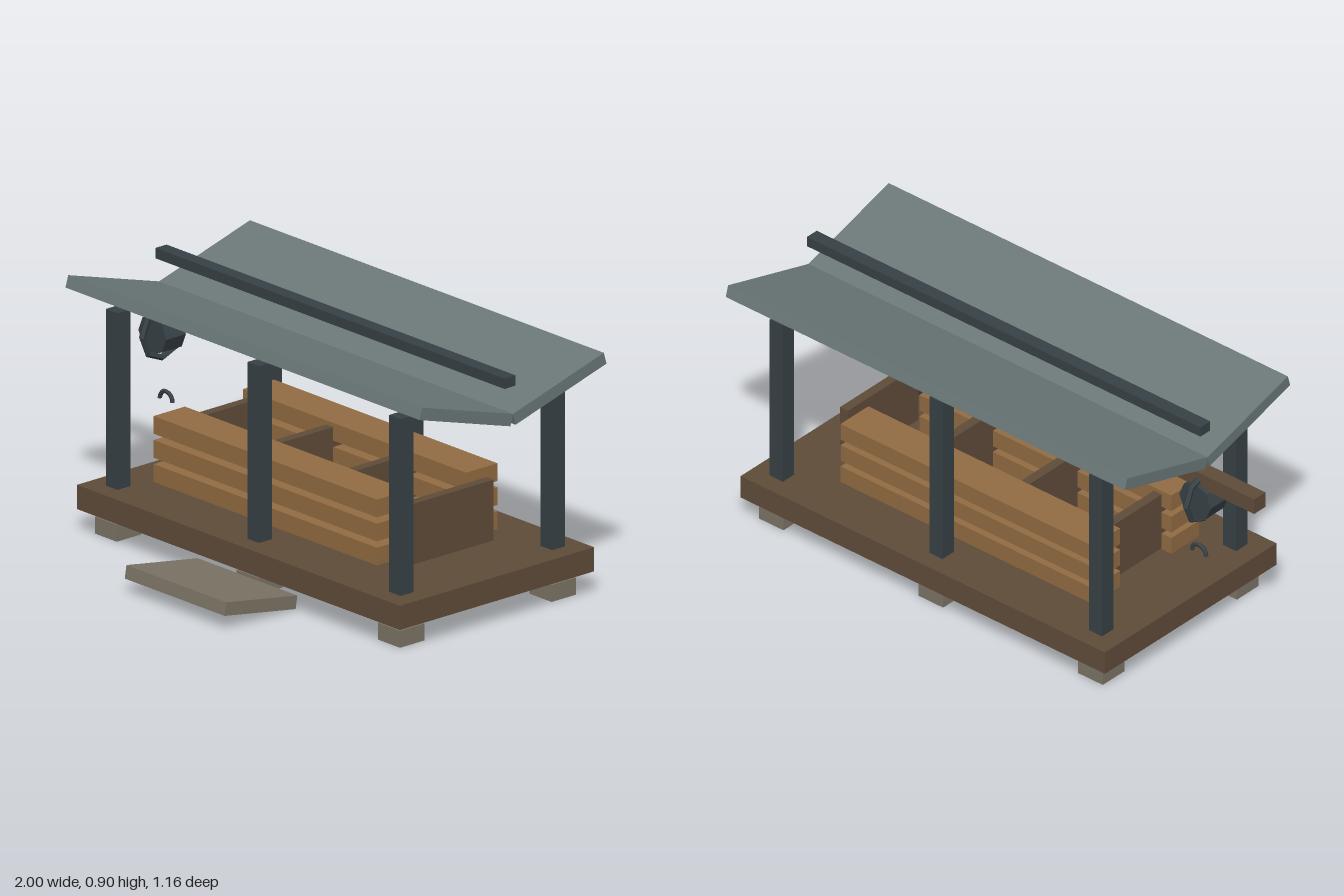
import * as THREE from 'three';

const material = (color) => new THREE.MeshStandardMaterial({ color, flatShading: true });

export function createModel() {
  const model = new THREE.Group();
  model.name = 'marketShelter';

  const darkWood = material(0x5f4c3a);
  const lightWood = material(0x926c42);
  const iron = material(0x374146);
  const stone = material(0x7c7466);
  const roofing = material(0x6b7878);

  const midX = 0.11, midZ = -0.1425;

  const add = (name, geometry, mat, x, y, z) => {
    const mesh = new THREE.Mesh(geometry, mat);
    mesh.name = name;
    mesh.position.set(x, y, z);
    model.add(mesh);
    return mesh;
  };
  const box = (name, mat, w, h, d, x, y, z) =>
    add(name, new THREE.BoxGeometry(w, h, d), mat, x, y, z);

  // Deck with a tilted stone step in front
  box('deck', darkWood, 1.62, 0.086, 0.875, midX, 0.128, midZ);
  box('step', stone, 0.5, 0.047, 0.325, midX, 0.052, 0.418).rotation.x = -0.161;

  // Six posts on stone feet
  for (const x of [-0.6, 0.11, 0.82]) {
    for (const side of [1, -1]) {
      const z = midZ + side * 0.3415;
      box('post', iron, 0.058, 0.74, 0.058, x, 0.43, z);
      box('foot', stone, 0.11, 0.06, 0.11, x, 0.03, z);
    }
  }

  // Two roof slabs sloping down to the middle, and the bar above them
  for (const side of [1, -1]) {
    const slab = box('roofSlab', roofing, 1.775, 0.043, 0.427, 0.1125, 0.81, midZ + side * 0.2105);
    slab.rotation.x = -side * 0.285;
  }
  box('ridgeBar', iron, 1.75, 0.037, 0.05, midX, 0.88, midZ);

  // Slatted crate sides
  for (const side of [1, -1]) {
    for (let i = 0; i < 3; i++) {
      box('crateSlat', lightWood, 1.12, 0.063, 0.141, 0.06, 0.227 + i * 0.0855, midZ + side * 0.201);
    }
  }

  // Crate dividers and end board
  for (let i = 0; i < 4; i++) {
    box('crateDivider', darkWood, 0.035, 0.216, 0.36, -0.439 + i * 0.3747, 0.307, midZ);
  }

  // Hoist: projecting beam, drum, wheel ring and hook
  const hoistZ = -0.134;
  box('hoistBeam', darkWood, 0.545, 0.058, 0.058, -0.7275, 0.68, hoistZ);
  const drum = new THREE.CylinderGeometry(0.07, 0.07, 0.088, 8).rotateX(Math.PI / 2);
  add('hoistDrum', drum, iron, -0.75, 0.6, hoistZ);
  const ring = new THREE.TorusGeometry(0.09, 0.012, 5, 8).rotateY(Math.PI / 2);
  add('hoistWheel', ring, iron, -0.75, 0.6, hoistZ);
  const hookMat = iron.clone();
  hookMat.side = THREE.DoubleSide;
  add('hook', new THREE.TorusGeometry(0.032, 0.008, 5, 8, Math.PI), hookMat, -0.73, 0.362, hoistZ);

  return model;
}
